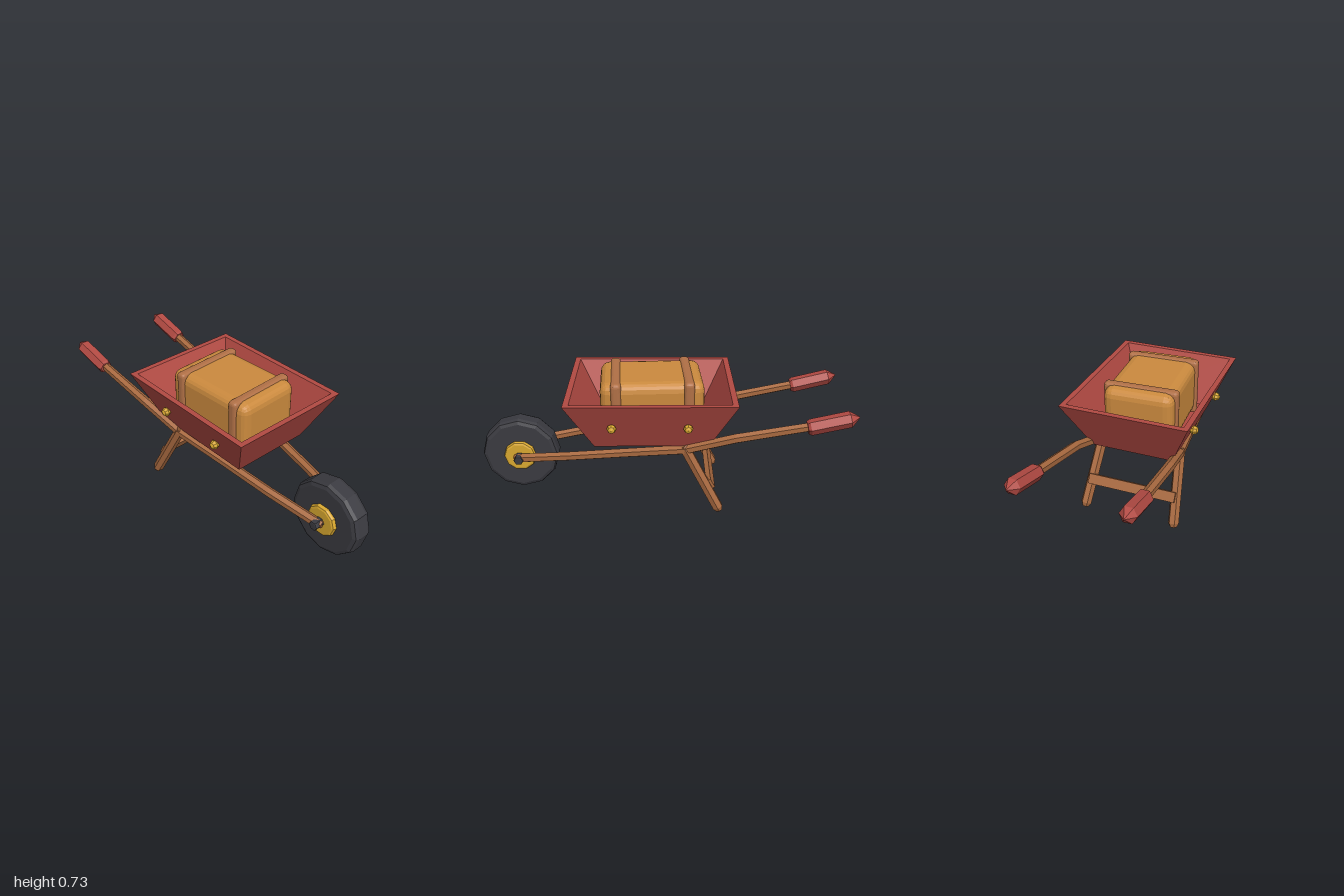
import * as THREE from 'three';
import { RoundedBoxGeometry } from 'three/addons/geometries/RoundedBoxGeometry.js';

const V = (x, y, z) => new THREE.Vector3(x, y, z);

function material(name, color) {
  const m = new THREE.MeshStandardMaterial({ color, flatShading: true });
  m.name = name;
  return m;
}

// Faceted copy of a geometry
function facet(geo) {
  const g = geo.index ? geo.toNonIndexed() : geo;
  g.computeVertexNormals();
  return g;
}

// Skin over a series of rings, closed at both ends
function loft(rings) {
  const pos = [];
  const tri = (...pts) => pts.forEach((p) => pos.push(p.x, p.y, p.z));
  const n = rings[0].length;
  for (let i = 0; i < rings.length - 1; i++) {
    for (let j = 0; j < n; j++) {
      const k = (j + 1) % n;
      tri(rings[i][j], rings[i][k], rings[i + 1][k]);
      tri(rings[i][j], rings[i + 1][k], rings[i + 1][j]);
    }
  }
  const first = rings[0], last = rings[rings.length - 1];
  for (let j = 1; j < n - 1; j++) {
    tri(first[0], first[j + 1], first[j]);
    tri(last[0], last[j], last[j + 1]);
  }
  const g = new THREE.BufferGeometry();
  g.setAttribute('position', new THREE.Float32BufferAttribute(pos, 3));
  g.computeVertexNormals();
  return g;
}

// Bar swept through points [x, y, z, radius]; hint sets which way a corner points
function sweep(points, hint, sides = 6, turn = 0) {
  const p = points.map(([x, y, z]) => V(x, y, z));
  return loft(p.map((c, i) => {
    const t = p[Math.min(i + 1, p.length - 1)].clone().sub(p[Math.max(i - 1, 0)]).normalize();
    const side = t.clone().cross(hint).normalize();
    const up = side.clone().cross(t);
    return Array.from({ length: sides }, (_, j) => {
      const a = turn + (j / sides) * Math.PI * 2, r = points[i][3];
      return c.clone().addScaledVector(up, r * Math.cos(a)).addScaledVector(side, r * Math.sin(a));
    });
  }));
}

// Turned part lying along x, profile as [radius, x]
function turned(profile, sides) {
  const g = new THREE.LatheGeometry(profile.map(([r, y]) => new THREE.Vector2(r, y)), sides);
  return facet(g.rotateZ(Math.PI / 2));
}

// Solid disc profile with chamfered rims
const disc = (r, h, c) => [[0, -h], [r - c, -h], [r - c * 0.3, -h + c * 0.3], [r, -h + c],
  [r, h - c], [r - c * 0.3, h - c * 0.3], [r - c, h], [0, h]];

export function createModel() {
  const red = material('red paint', 0xb24a43);
  const wood = material('wood', 0xa8693f);
  const rubber = material('dark rubber', 0x3a3a40);
  const brass = material('brass', 0xd9a830);
  const canvas = material('ochre canvas', 0xcb8a3e);
  const strapMat = material('strap leather', 0xb07046);

  const model = new THREE.Group();
  model.name = 'wheelbarrow';
  const add = (name, geo, mat, parent = model) => {
    const m = new THREE.Mesh(geo, mat);
    m.name = name;
    parent.add(m);
    return m;
  };

  // Tray: outer shell, rim, inner walls and floor
  const rect = (x, y, z0, z1) => [V(x, y, z1), V(x, y, z0), V(-x, y, z0), V(-x, y, z1)];
  add('tray', loft([
    rect(0.225, 0.39, -0.245, 0.36),
    rect(0.345, 0.67, -0.38, 0.5),
    rect(0.315, 0.67, -0.35, 0.47),
    rect(0.2, 0.42, -0.22, 0.335),
  ]), red);

  // Strapped bundle, slightly turned in the tray
  const bundle = new THREE.Group();
  bundle.name = 'bundle';
  bundle.position.set(0, 0.57, 0.06);
  bundle.rotation.y = 0.05;
  model.add(bundle);
  add('sack', facet(new RoundedBoxGeometry(0.38, 0.306, 0.545, 2, 0.05)), canvas, bundle);
  for (const z of [-0.19, 0.19]) {
    add('strap', facet(new RoundedBoxGeometry(0.405, 0.322, 0.055, 2, 0.02)), strapMat, bundle)
      .position.z = z;
  }

  // Wheel, hub and axle
  const wheel = new THREE.Group();
  wheel.name = 'wheel';
  wheel.position.set(0, 0.247, 0.79);
  model.add(wheel);
  add('tyre', turned(disc(0.211, 0.057, 0.026), 12), rubber, wheel);
  add('hub', turned(disc(0.088, 0.08, 0.014), 10), brass, wheel);
  add('axle', turned(disc(0.027, 0.133, 0.007), 6), rubber, wheel);

  const up = V(0, 1, 0), front = V(0, 0, 1);
  for (const s of [1, -1]) {
    // Long shaft from the axle to the grip
    add('shaft', sweep([
      [0.09, 0.247, 0.815, 0.02],
      [0.1, 0.25, 0.775, 0.026],
      [0.145, 0.287, 0.5, 0.026],
      [0.182, 0.327, 0.2, 0.026],
      [0.225, 0.37, -0.12, 0.027],
      [0.258, 0.452, -0.38, 0.027],
      [0.274, 0.535, -0.8, 0.025],
    ].map(([x, y, z, r]) => [s * x, y, z, r]), up), wood);

    // Hexagonal grip with a pointed end
    add('grip', sweep([
      [0.275, 0.522, -0.742, 0.034],
      [0.275, 0.525, -0.757, 0.043],
      [0.279, 0.573, -0.955, 0.043],
      [0.28, 0.584, -1.0, 0.004],
    ].map(([x, y, z, r]) => [s * x, y, z, r]), up, 6, Math.PI / 6), red);

    // Splayed leg
    add('leg', sweep([
      [0.222, 0.39, -0.11, 0.022],
      [0.224, 0.37, -0.122, 0.03],
      [0.258, 0.032, -0.3, 0.03],
      [0.26, 0.013, -0.309, 0.018],
    ].map(([x, y, z, r]) => [s * x, y, z, r]), front, 6, Math.PI / 6), wood);

    // Tray bolts
    for (const z of [0.26, -0.13]) {
      const bolt = new THREE.SphereGeometry(0.025, 8, 4).rotateZ(Math.PI / 2);
      add('bolt', facet(bolt), brass).position.set(s * 0.301, 0.53, z);
    }
  }

  // Brace between the legs
  const brace = add('brace', facet(new THREE.BoxGeometry(0.5, 0.055, 0.028)), wood);
  brace.position.set(0, 0.17, -0.257);
  brace.rotation.x = 0.49;

  return model;
}
